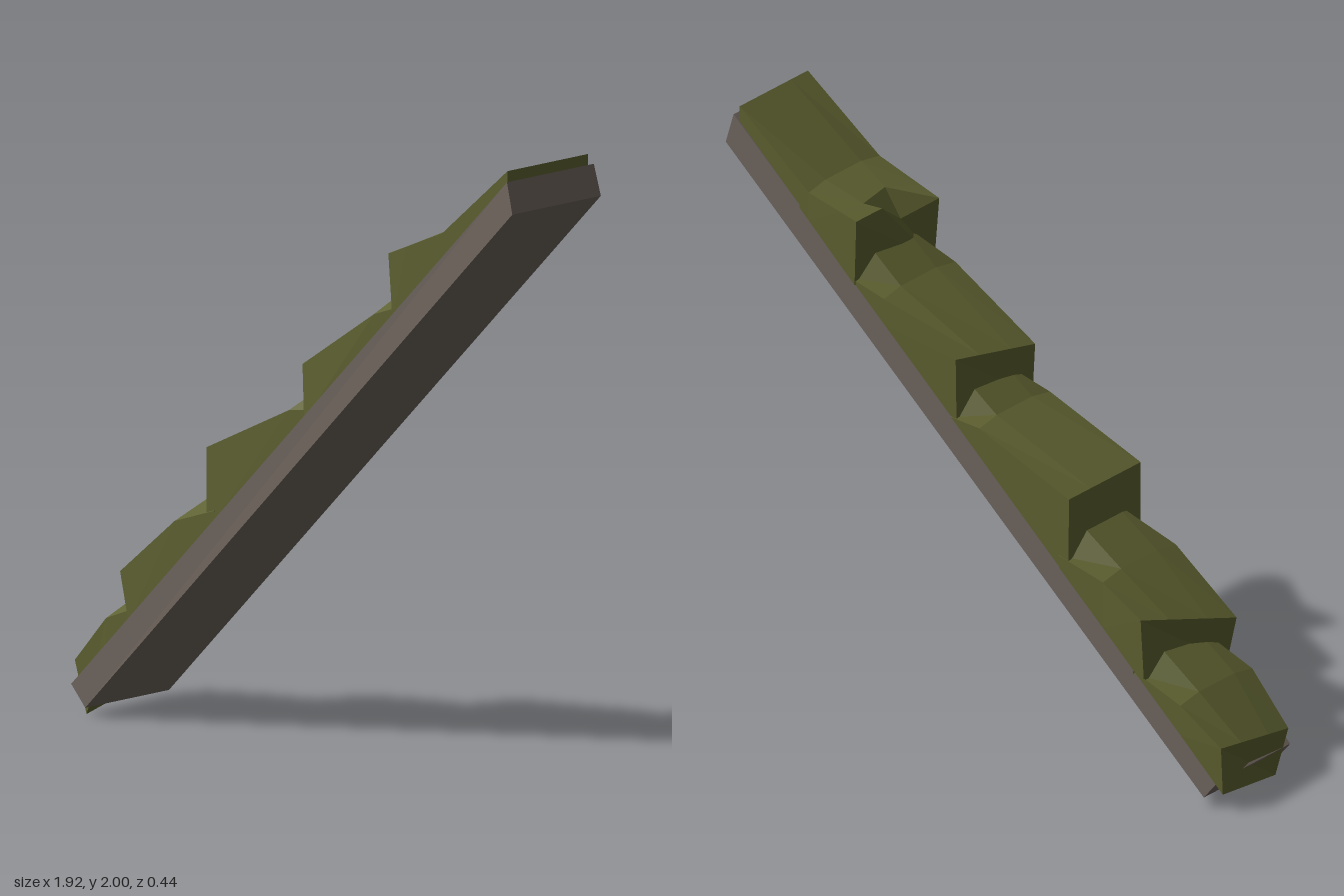
import * as THREE from 'three';

// Skins a list of cross-sections (each a list of [x, y, z]) and caps both ends.
function loft(name, rings, material) {
  const n = rings[0].length;
  const pos = [];
  const tri = (...pts) => pts.forEach((p) => pos.push(...p));
  for (let i = 0; i < rings.length - 1; i++) {
    for (let j = 0; j < n; j++) {
      const k = (j + 1) % n;
      const [a, b, c, d] = [rings[i][j], rings[i + 1][j], rings[i + 1][k], rings[i][k]];
      tri(a, b, c);
      tri(a, c, d);
    }
  }
  const first = rings[0], last = rings[rings.length - 1];
  for (let j = 1; j < n - 1; j++) {
    tri(first[0], first[j], first[j + 1]);
    tri(last[0], last[j + 1], last[j]);
  }
  const geometry = new THREE.BufferGeometry();
  geometry.setAttribute('position', new THREE.Float32BufferAttribute(pos, 3));
  geometry.computeVertexNormals();
  const mesh = new THREE.Mesh(geometry, material);
  mesh.name = name;
  return mesh;
}

const mix = (a, b, t) => a.map((v, i) => v + (b[i] - v) * t);
const beamTop = (x) => x + 1.03;

// Cross-section above the beam; the shoulders drop below the crown by `drop`.
function section(x, y, drop, zFront, zBack) {
  return [
    [x, beamTop(x), zFront], [x, y - drop, zFront], [x, y, 0.09],
    [x, y, -0.11], [x, y - drop, zBack], [x, beamTop(x), zBack],
  ];
}

export function createModel() {
  const group = new THREE.Group();
  const wood = new THREE.MeshStandardMaterial({ color: 0x6e645c, flatShading: true });
  wood.name = 'weathered wood';
  const moss = new THREE.MeshStandardMaterial({ color: 0x5d6030, flatShading: true });
  moss.name = 'olive covering';

  // Sloping beam
  group.add(loft('beam', [
    [[-0.88, 0.03, 0.2], [-0.94, 0.1, 0.2], [-0.94, 0.1, -0.2], [-0.88, 0.03, -0.2]],
    [[0.96, 1.87, 0.218], [0.93, 1.97, 0.21], [0.93, 1.97, -0.205], [0.96, 1.87, -0.205]],
  ], wood));

  // Overlapping layers: base and lip corners at front and back, then the bend and the tucked end
  const layers = [
    { baseF: [-0.91, 0, 0.16], lipF: [-0.96, 0.17, 0.16], lipB: [-0.96, 0.22, -0.22], baseB: [-0.96, 0.06, -0.21],
      bend: [-0.8, 0.345], end: [-0.62, 0.49], zF: 0.19, zB: -0.215 },
    { baseF: [-0.7, 0.33, 0.195], lipF: [-0.74, 0.49, 0.19], lipB: [-0.65, 0.59, -0.22], baseB: [-0.66, 0.37, -0.215],
      bend: [-0.5, 0.7], end: [-0.33, 0.83], zF: 0.198, zB: -0.213 },
    { baseF: [-0.365, 0.665, 0.198], lipF: [-0.37, 0.94, 0.19], lipB: [-0.37, 0.94, -0.215], baseB: [-0.365, 0.665, -0.21],
      bend: [-0.02, 1.12], end: [0.09, 1.21], zF: 0.19, zB: -0.208 },
    { baseF: [0.05, 1.08, 0.195], lipF: [0.03, 1.26, 0.18], lipB: [0.07, 1.32, -0.21], baseB: [0.07, 1.1, -0.205],
      bend: [0.35, 1.48], end: [0.48, 1.6], zF: 0.198, zB: -0.205 },
    { baseF: [0.43, 1.46, 0.198], lipF: [0.41, 1.67, 0.195], lipB: [0.45, 1.71, -0.215], baseB: [0.46, 1.49, -0.21],
      bend: [0.64, 1.78], end: [0.91, 2], zF: 0.195, zB: -0.205, chipped: true },
  ];
  layers.forEach((l, i) => {
    const lip = [l.baseF, l.lipF, mix(l.lipF, l.lipB, 0.3), mix(l.lipF, l.lipB, 0.7), l.lipB, l.baseB];
    const bend = section(...l.bend, 0.015, l.zF, l.zB);
    const rings = [lip];
    if (l.chipped) {
      // Notch broken out of the top lip
      rings.push(lip.map((p, j) => mix(p, bend[j], 0.32)));
      rings[1][2] = [0.52, 1.73, 0.05];
      lip[2] = [0.46, 1.635, 0.05];
      lip[3] = [0.45, 1.71, -0.07];
      rings.push(bend, section(...l.end, 0, 0.185, -0.2));
    } else {
      rings.push(bend, section(...l.end, 0.09, l.zF, l.zB));
    }
    group.add(loft(`coveringLayer${i + 1}`, rings, moss));
  });
  return group;
}
